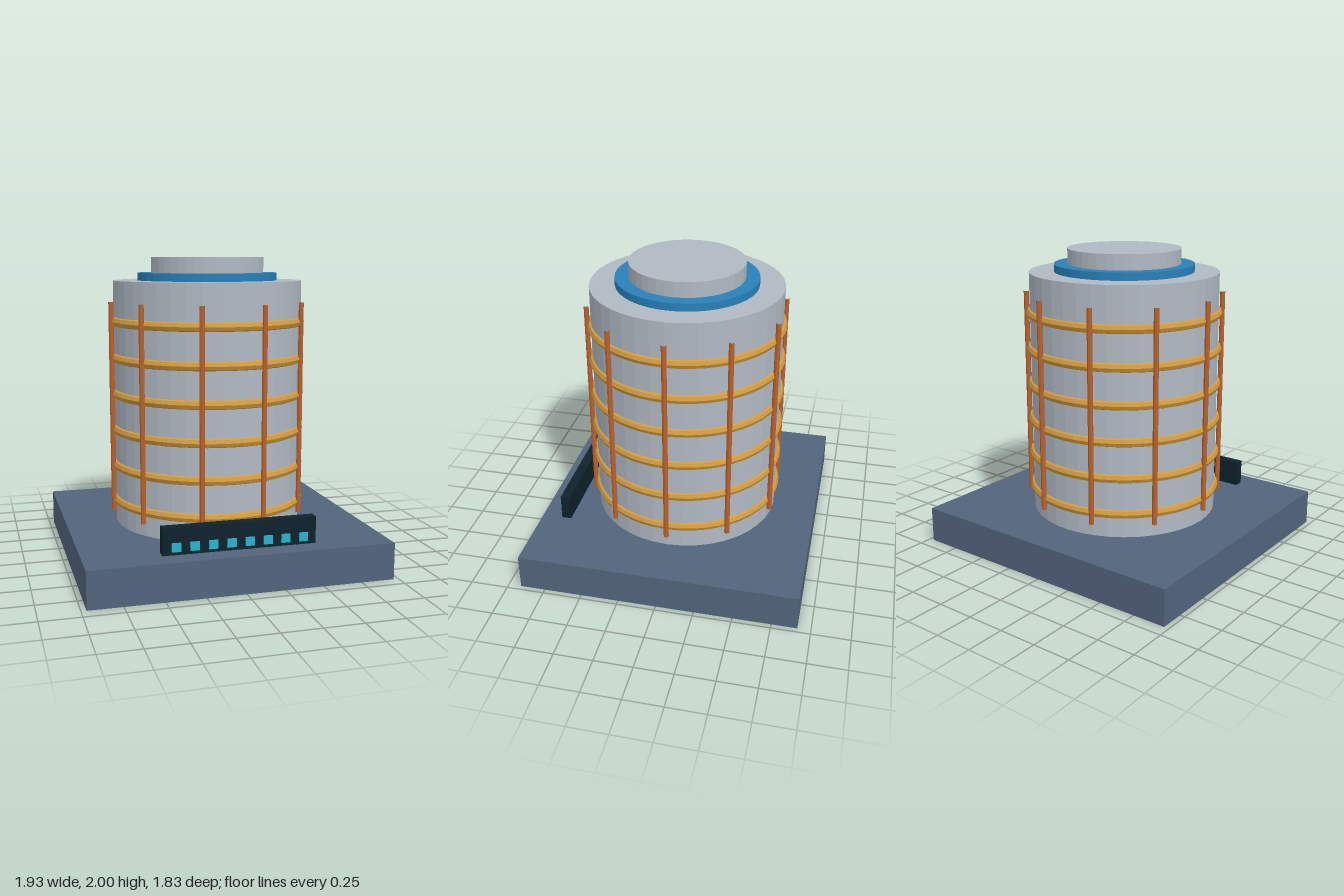
import * as THREE from 'three';

const material = (name, color, extra = {}) => {
  const m = new THREE.MeshStandardMaterial({ color, flatShading: true, ...extra });
  m.name = name;
  return m;
};

export function createModel() {
  const slate = material('slate', 0x52647c);
  const steel = material('steel', 0xb0b9c3);
  const blue = material('blue', 0x2980b9);
  const brass = material('brass', 0xd09a40);
  const copper = material('copper', 0xb8622e);
  const dark = material('dark panel', 0x0e222b);
  const cyan = material('cyan', 0x25b4d2);

  const model = new THREE.Group();
  model.name = 'coilTank';

  const add = (name, geometry, mat, x, y, z) => {
    const mesh = new THREE.Mesh(geometry, mat);
    mesh.name = name;
    mesh.position.set(x, y, z);
    model.add(mesh);
    return mesh;
  };
  // Upright cylinder between two heights
  const drum = (name, radius, y0, y1, mat) =>
    add(name, new THREE.CylinderGeometry(radius, radius, y1 - y0, 40), mat, 0, (y0 + y1) / 2, 0);

  // Plinth, tank body, collar and lid
  add('base', new THREE.BoxGeometry(1.935, 0.237, 1.83), slate, 0, 0.1185, 0);
  drum('tank', 0.623, 0.237, 1.85, steel);
  drum('collar', 0.46, 1.85, 1.9, blue);
  drum('lid', 0.372, 1.9, 2, steel);

  // Horizontal coil rings
  const ring = new THREE.TorusGeometry(0.613, 0.033, 8, 48).rotateX(Math.PI / 2);
  for (let i = 0; i < 6; i++) add('coilRing', ring, brass, 0, 0.395 + i * 0.238, 0);

  // Vertical rods, hollow and open at the ends
  const rod = new THREE.CylinderGeometry(0.017, 0.017, 1.39, 8, 1, true);
  for (let i = 0; i < 10; i++) {
    const a = (i / 10) * Math.PI * 2;
    add('rod', rod, copper, Math.cos(a) * 0.647, 1.02, Math.sin(a) * 0.647);
  }

  // Control panel with a row of lights standing off its face
  add('controlPanel', new THREE.BoxGeometry(0.98, 0.171, 0.065), dark, 0, 0.3225, 0.746);
  const light = new THREE.BoxGeometry(0.058, 0.055, 0.0095);
  for (let i = 0; i < 8; i++) add('panelLight', light, cyan, -0.41 + i * 0.1157, 0.292, 0.802);

  return model;
}
